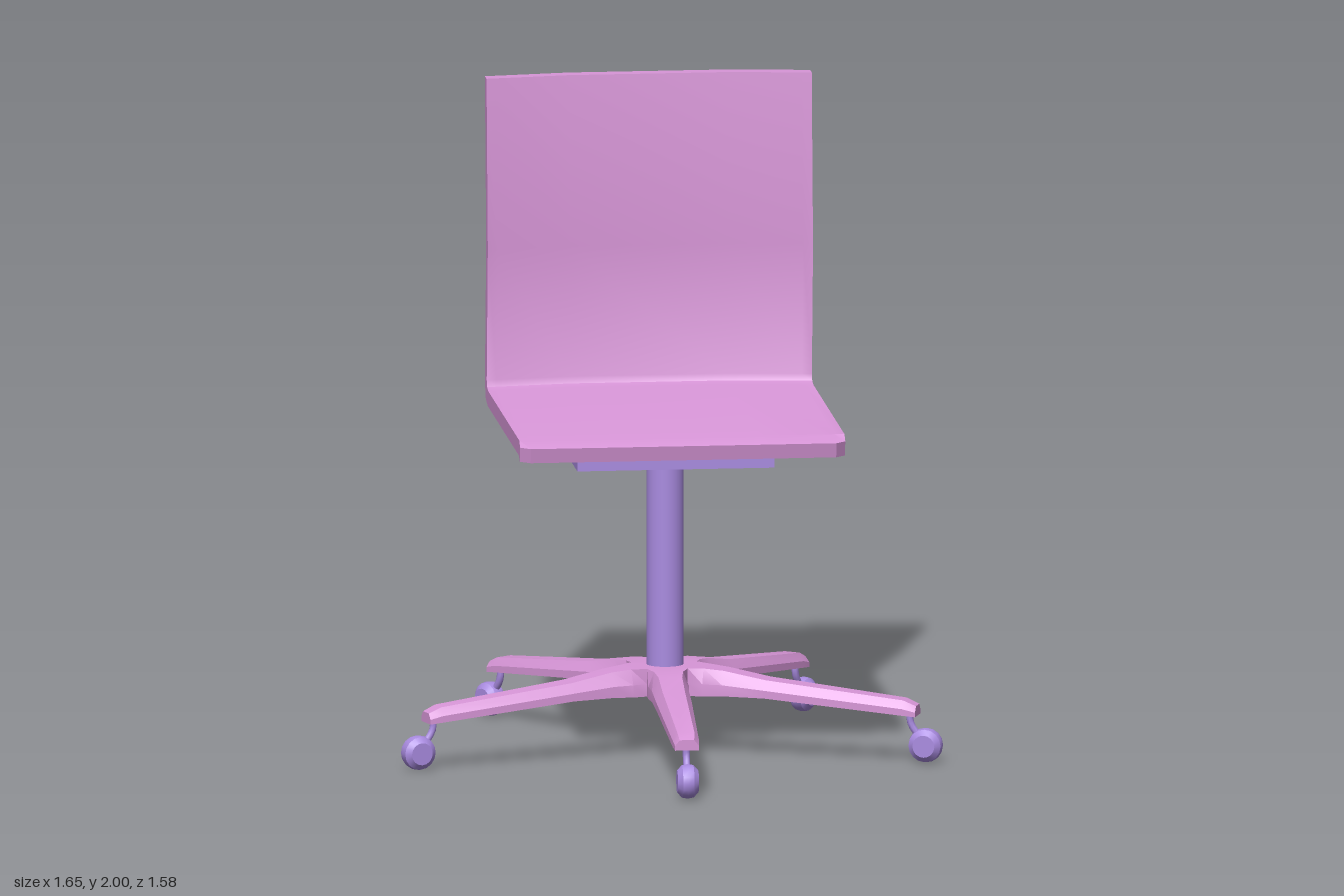
import * as THREE from 'three';
import { toCreasedNormals } from 'three/addons/utils/BufferGeometryUtils.js';

const pink = new THREE.MeshStandardMaterial({ color: 0xd896d8 });
const purple = new THREE.MeshStandardMaterial({ color: 0xa98be0 });

function add(parent, name, geometry, material, x = 0, y = 0, z = 0) {
  const mesh = new THREE.Mesh(geometry, material);
  mesh.name = name;
  mesh.position.set(x, y, z);
  parent.add(mesh);
  return mesh;
}

// Skin a list of equal rings of [x, y, z]; end caps join point i with point n-1-i.
function loft(rings, crease = 0.6) {
  const n = rings[0].length, last = (rings.length - 1) * n, index = [];
  for (let s = 0; s < last; s += n) {
    for (let i = 0; i < n; i++) {
      const a = s + i, b = s + (i + 1) % n;
      index.push(a, a + n, b, b, a + n, b + n);
    }
  }
  for (let i = 0; i < n / 2 - 1; i++) {
    const [a, b, c, d] = [i, i + 1, n - 2 - i, n - 1 - i];
    index.push(a, b, c, a, c, d);
    index.push(last + a, last + c, last + b, last + a, last + d, last + c);
  }
  const g = new THREE.BufferGeometry();
  g.setAttribute('position', new THREE.Float32BufferAttribute(rings.flat(2), 3));
  g.setIndex(index);
  return toCreasedNormals(g, crease);
}

// One-piece seat and backrest: side profile swept across, back wrapped forward at the edges
function shellGeometry() {
  const upper = [[0.45, 1.03], [0.395, 1.048], [-0.49, 1.048], [-0.52, 1.055],
    [-0.53, 1.075], [-0.5, 1.48], [-0.535, 2]];
  const lower = [[0.44, 0.985], [0.385, 1], [-0.5, 1], [-0.555, 1.012],
    [-0.58, 1.06], [-0.545, 1.49], [-0.58, 2]];
  const profile = [...upper, ...lower.reverse()];
  const columns = [-0.495, -0.465, -0.24, 0.24, 0.465, 0.495];
  return loft(columns.map((x) => profile.map(([z, y]) => {
    const wrap = 0.035 * Math.max(0, (Math.abs(x) - 0.24) / 0.255);
    if (z < -0.45) return [x, y, z + wrap];
    const clip = z > 0.43 && Math.abs(x) > 0.48 ? 0.03 : 0; // cut front corners
    return [x, y, z - clip];
  })));
}

// Leg sections: distance out, bottom half-width, top half-width, bottom y, top y
function legGeometry() {
  const sections = [
    [0, 0.001, 0.001, 0.185, 0.27], [0.085, 0.0618, 0.0618, 0.185, 0.27],
    [0.13, 0.062, 0.044, 0.185, 0.268], [0.19, 0.056, 0.036, 0.187, 0.262],
    [0.32, 0.054, 0.034, 0.185, 0.238], [0.745, 0.04, 0.026, 0.147, 0.192],
    [0.785, 0.036, 0.022, 0.143, 0.175],
  ];
  return loft(sections.map(([r, wb, wt, yb, yt]) => {
    const ym = yb + (yt - yb) * 0.45;
    return [[-wb, yb, r], [-wb, ym, r], [-wt, yt, r], [wt, yt, r], [wb, ym, r], [wb, yb, r]];
  }), 0.4);
}

function wheelGeometry() {
  const profile = [[0, -0.032], [0.034, -0.032], [0.05, -0.017], [0.053, 0],
    [0.05, 0.017], [0.034, 0.032], [0, 0.032]].map(([r, y]) => new THREE.Vector2(r, y));
  const g = new THREE.LatheGeometry(profile, 16);
  g.rotateZ(Math.PI / 2);
  return toCreasedNormals(g, 0.6);
}

export function createModel() {
  const chair = new THREE.Group();
  chair.name = 'swivelChair';

  add(chair, 'seatShell', shellGeometry(), pink, 0.005);

  // Support under the seat
  add(chair, 'seatPlate', new THREE.BoxGeometry(0.6, 0.08, 0.6), purple, 0.005, 0.96, -0.065);
  add(chair, 'column', new THREE.CylinderGeometry(0.056, 0.056, 0.7, 24), purple, 0.005, 0.58, -0.065);

  // Five-star base with casters
  const base = new THREE.Group();
  base.name = 'base';
  base.position.set(0.005, 0, -0.065);
  chair.add(base);
  const leg = legGeometry(), wheel = wheelGeometry();
  const stemPath = new THREE.CatmullRomCurve3([[0.165, 0.762], [0.125, 0.762], [0.098, 0.775], [0.06, 0.81]]
    .map(([y, z]) => new THREE.Vector3(0, y, z)));
  const stem = new THREE.TubeGeometry(stemPath, 8, 0.011, 8);
  for (let i = 0; i < 5; i++) {
    const arm = new THREE.Group();
    arm.name = 'arm' + (i + 1);
    arm.rotation.y = -0.026 + i * Math.PI * 2 / 5;
    base.add(arm);
    add(arm, 'leg', leg, pink);
    add(arm, 'casterStem', stem, purple);
    add(arm, 'casterWheel', wheel, purple, 0, 0.053, 0.81);
  }
  return chair;
}
